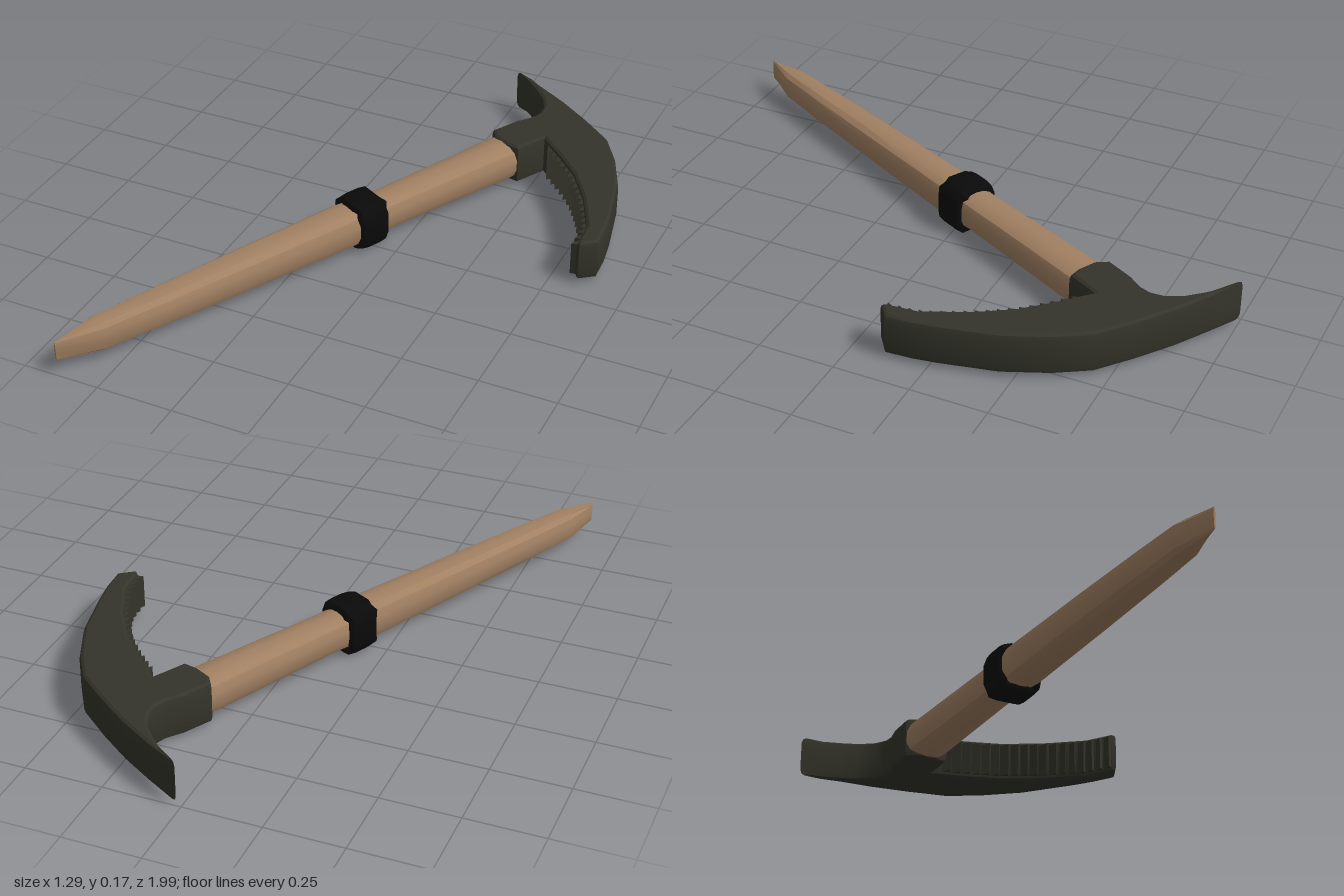
import * as THREE from 'three';
import { toCreasedNormals } from 'three/addons/utils/BufferGeometryUtils.js';

const wood = new THREE.MeshStandardMaterial({ color: 0xa18062 });
wood.name = 'wood';
const metal = new THREE.MeshStandardMaterial({ color: 0x34342b });
metal.name = 'darkMetal';
const tape = new THREE.MeshStandardMaterial({ color: 0x0a0a0a });
tape.name = 'blackTape';

const MID_Y = 0.09;

function addMesh(parent, name, geometry, material, crease) {
  const mesh = new THREE.Mesh(toCreasedNormals(geometry, crease), material);
  mesh.name = name;
  parent.add(mesh);
}

// Closed loft along z: sections are [z, halfWidth, halfHeight]
function loft(sections, sides, power, wobble = 0) {
  const pos = [], idx = [];
  const round = (v) => Math.sign(v) * Math.abs(v) ** power;
  sections.forEach(([z, hx, hy]) => {
    for (let i = 0; i < sides; i++) {
      const a = ((i + 0.5) / sides) * Math.PI * 2;
      pos.push(hx * round(Math.cos(a)), hy * round(Math.sin(a)), z + wobble * Math.sin(i * 2.3));
    }
  });
  const last = sections.length - 1;
  for (let k = 0; k < last; k++) {
    for (let i = 0; i < sides; i++) {
      const j = (i + 1) % sides, a = k * sides, b = a + sides;
      idx.push(a + i, a + j, b + j, a + i, b + j, b + i);
    }
  }
  const c = pos.length / 3;
  pos.push(0, 0, sections[0][0], 0, 0, sections[last][0]);
  for (let i = 0; i < sides; i++) {
    const j = (i + 1) % sides;
    idx.push(c, j, i, c + 1, last * sides + i, last * sides + j);
  }
  const g = new THREE.BufferGeometry();
  g.setAttribute('position', new THREE.Float32BufferAttribute(pos, 3));
  g.setIndex(idx);
  return g;
}

// Extrude a ground-plan outline of [x, z] points upward, centred on MID_Y
function plate(points, height, bevel) {
  const shape = new THREE.Shape(points.map(([x, z]) => new THREE.Vector2(x, -z)));
  const g = new THREE.ExtrudeGeometry(shape, {
    depth: height - 2 * bevel, bevelEnabled: bevel > 0, bevelThickness: bevel,
    bevelSize: bevel * 0.6, bevelOffset: -bevel * 0.6, bevelSegments: 2,
  });
  g.translate(0, 0, -(height - 2 * bevel) / 2);
  g.rotateX(-Math.PI / 2);
  g.translate(0, MID_Y, 0);
  return g;
}

export function createModel() {
  const model = new THREE.Group();
  model.name = 'iceAxe';

  // Handle, running diagonally and ending in a wedge
  const handle = new THREE.Group();
  handle.name = 'handle';
  handle.position.set(-0.109, MID_Y, -0.055);
  handle.rotation.y = -0.469;
  model.add(handle);
  addMesh(handle, 'shaft', loft([
    [-0.66, 0.068, 0.06], [-0.54, 0.073, 0.064], [-0.3, 0.068, 0.062], [-0.05, 0.064, 0.059],
    [0.12, 0.068, 0.067], [0.55, 0.06, 0.061], [0.85, 0.052, 0.056],
    [1.03, 0.045, 0.052], [1.175, 0.003, 0.035],
  ], 14, 0.75), wood, 0.5);

  // Wrapped tape collar
  addMesh(handle, 'gripCollar', loft([
    [-0.015, 0.068, 0.07], [-0.008, 0.076, 0.08], [0.02, 0.078, 0.084],
    [0.065, 0.078, 0.084], [0.09, 0.076, 0.08], [0.097, 0.068, 0.07],
  ], 16, 0.55, 0.006), tape, 0.6);

  // Head: spike, curved pick and socket in one outline
  const inner = [[0.58, -0.09], [0.572, -0.19], [0.507, -0.335], [0.432, -0.452], [0.355, -0.533], [0.285, -0.598]];
  addMesh(model, 'head', plate([
    [0.015, -1.0], [0.13, -0.943], [0.24, -0.875], [0.35, -0.795], [0.46, -0.705],
    [0.525, -0.6], [0.585, -0.46], [0.625, -0.28], [0.638, -0.2], [0.643, -0.115], [0.592, -0.078],
    ...inner,
    [0.265, -0.62], [0.21, -0.52], [0.165, -0.53], [0.14, -0.543], [0.108, -0.56], [0.085, -0.6],
    [0.135, -0.69], [0.172, -0.735], [0.186, -0.77], [0.184, -0.815], [0.16, -0.865], [0.12, -0.91], [0.075, -0.955],
  ], 0.14, 0.02), metal, 0.6);

  // Saw teeth along the inner edge of the pick
  const edge = new THREE.CatmullRomCurve3(inner.map(([x, z]) => new THREE.Vector3(x, 0, z)));
  const teeth = [], back = [], count = 18;
  for (let i = 0; i <= count; i++) {
    const p = edge.getPointAt(i / count), t = edge.getTangentAt(i / count);
    const at = (d) => [p.x + t.z * d, p.z - t.x * d];
    teeth.push(at(-0.003));
    if (i < count) teeth.push(at(0.018));
    back.unshift(at(-0.03));
  }
  addMesh(model, 'sawTeeth', plate([...teeth, ...back], 0.112, 0), metal, 0.4);

  return model;
}
